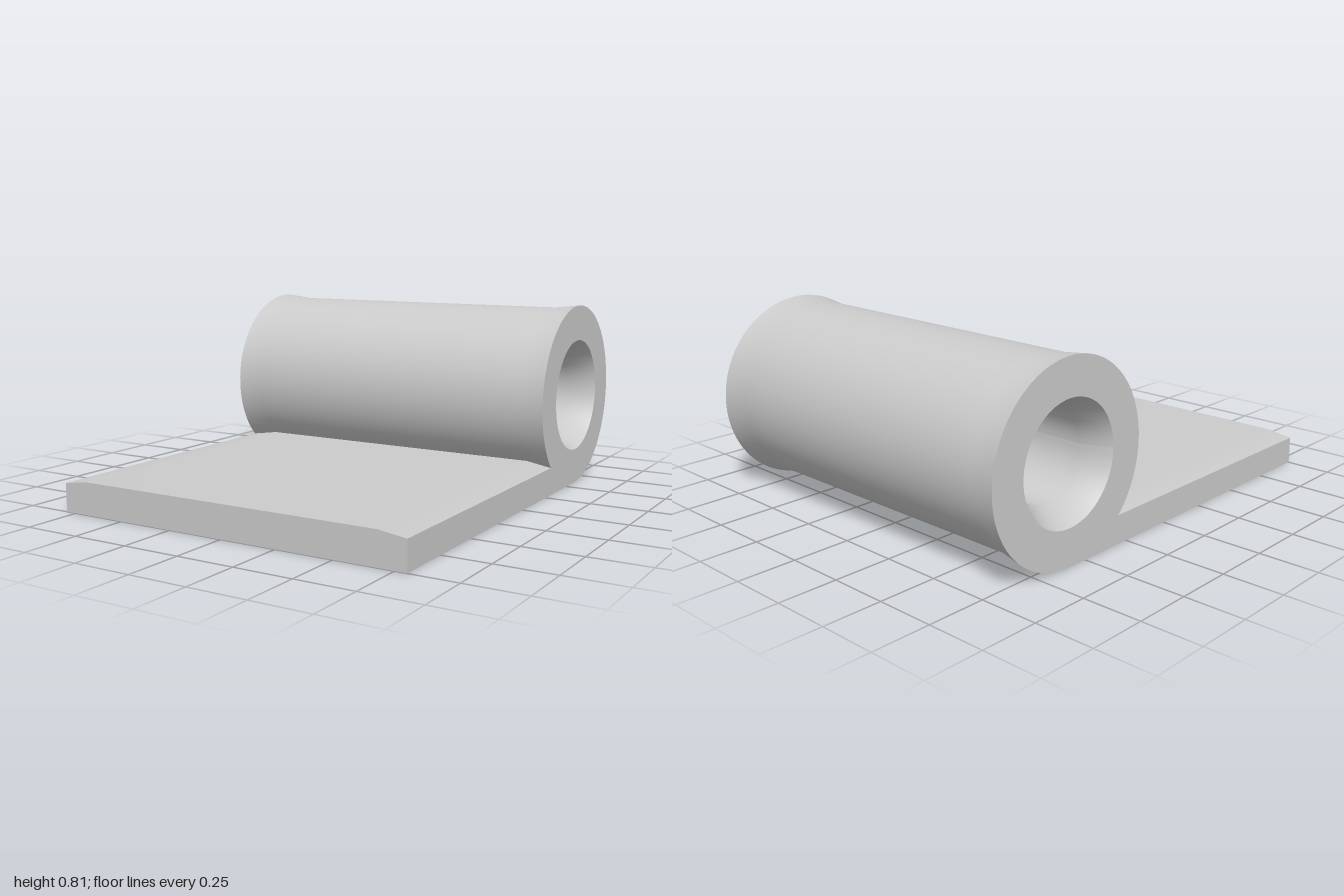
import * as THREE from 'three';

const CZ = -0.593, STEPS = 72;
// Cross-sections (z, y): wider barrel and thinner leaf at the ends, necked in between
const END = { x: 0.8, cy: 0.407, r: 0.407, top: 0.122, bore: 0.25 };
const MID = { x: 0.68, cy: 0.412, r: 0.388, top: 0.138, bore: 0.19 };
const SECTIONS = [[-END.x, END], [-MID.x, MID], [MID.x, MID], [END.x, END]];

function arc(s, radius, from, to) {
  return Array.from({ length: STEPS + 1 }, (_, i) => {
    const a = from + (to - from) * i / STEPS;
    return [CZ + radius * Math.cos(a), s.cy + radius * Math.sin(a)];
  });
}

const frontFace = s => [[1, 0], [1, s.top]];
const barrel = s => arc(s, s.r, Math.asin((s.top - s.cy) / s.r), Math.PI * 1.5);
const leafTop = s => [[1, s.top], barrel(s)[0]];
const leafBottom = s => [[CZ, s.cy - s.r], [1, 0]];
const bore = s => arc(s, s.bore, Math.PI * 2, 0);

// Skin one contour piece across all sections
function loft(contour) {
  const pos = [], index = [];
  let n = 0;
  SECTIONS.forEach(([x, s]) => {
    const pts = contour(s);
    n = pts.length;
    pts.forEach(([z, y]) => pos.push(x, y, z));
  });
  for (let i = 0; i < SECTIONS.length - 1; i++) {
    for (let j = 0; j < n - 1; j++) {
      const a = i * n + j, b = a + n;
      index.push(a, b, a + 1, b, b + 1, a + 1);
    }
  }
  const geo = new THREE.BufferGeometry();
  geo.setAttribute('position', new THREE.Float32BufferAttribute(pos, 3));
  geo.setIndex(index);
  geo.computeVertexNormals();
  return geo;
}

// Flat end face with the bore cut out
function endCap(side) {
  const to2 = ([z, y]) => new THREE.Vector2(-side * z, y);
  const shape = new THREE.Shape([...frontFace(END), ...barrel(END)].map(to2));
  shape.holes.push(new THREE.Path(bore(END).slice(0, -1).map(to2)));
  const geo = new THREE.ShapeGeometry(shape);
  geo.rotateY(side * Math.PI / 2);
  geo.translate(side * END.x, 0, 0);
  return geo;
}

export function createModel() {
  const model = new THREE.Group();
  model.name = 'hingeLeaf';
  const material = new THREE.MeshStandardMaterial({ color: 0xcccccc });
  const add = (name, geo) => {
    const mesh = new THREE.Mesh(geo, material);
    mesh.name = name;
    model.add(mesh);
  };

  // Flat leaf
  add('leafFront', loft(frontFace));
  add('leafTop', loft(leafTop));
  add('leafBottom', loft(leafBottom));
  // Knuckle barrel with its flared pin hole
  add('barrel', loft(barrel));
  add('pinHole', loft(bore));
  // End faces
  add('leftEnd', endCap(1));
  add('rightEnd', endCap(-1));
  return model;
}
